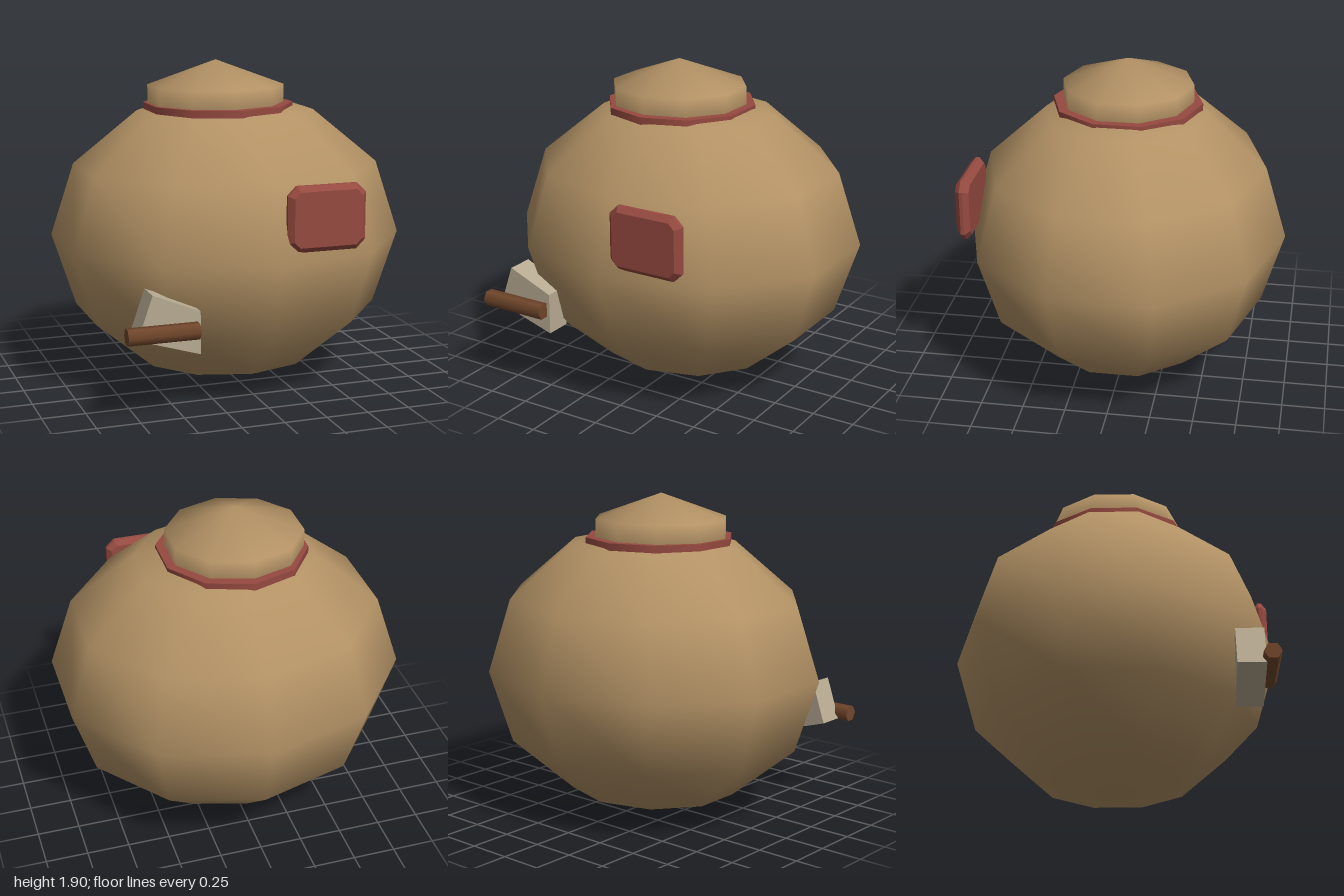
import * as THREE from 'three';

const paint = (name, color) => {
  const m = new THREE.MeshStandardMaterial({ color });
  m.name = name;
  return m;
};

export function createModel() {
  const tan = paint('tan clay', 0xb39265);
  const red = paint('dull red', 0x964a40);
  const wood = paint('brown wood', 0x70462b);
  const stone = paint('pale grey', 0xb8ab92);
  const group = new THREE.Group();

  const add = (name, geometry, material, x, y, z) => {
    const mesh = new THREE.Mesh(geometry, material);
    mesh.name = name;
    mesh.position.set(x, y, z);
    group.add(mesh);
    return mesh;
  };

  // Ten-sided squashed ball with a corner facing the front
  const ball = (rows, rx, ry, rz) =>
    new THREE.SphereGeometry(1, 10, rows).rotateY(Math.PI / 2).scale(rx, ry, rz);

  const outline = (points) => new THREE.Shape(points.map(([x, y]) => new THREE.Vector2(x, y)));

  add('body', ball(6, 1.051, 0.86, 0.952), tan, 0, 0.862, 0);
  add('topKnot', ball(3, 0.464, 0.29, 0.445), tan, -0.06, 1.615, 0);

  // Tie band round the neck
  add('neckBand', new THREE.CylinderGeometry(0.44, 0.44, 0.05, 10), red, -0.045, 1.63, 0);

  // Bevelled patch, its lower corner sunk into the body
  const w = 0.2, h = 0.155, c = 0.035;
  const patch = new THREE.ExtrudeGeometry(
    outline([[-w + c, -h], [w - c, -h], [w, -h + c], [w, h - c], [w - c, h], [-w + c, h], [-w, h - c], [-w, -h + c]]),
    { depth: 0.02, bevelEnabled: true, bevelSegments: 1, bevelSize: 0.03, bevelThickness: 0.03 });
  add('patch', patch, red, 0.28, 1.11, 0.87);

  // Tapered block with a six-sided stick in front of it
  const block = new THREE.ExtrudeGeometry(
    outline([[-0.785, 0.497], [-0.43, 0.388], [-0.43, 0.63], [-0.7, 0.742]]),
    { depth: 0.16, bevelEnabled: false });
  add('block', block, stone, 0, 0, 0.672);
  add('stick', new THREE.CylinderGeometry(0.05, 0.05, 0.405, 6).rotateZ(Math.PI / 2), wood, -0.652, 0.533, 0.86);

  return group;
}
